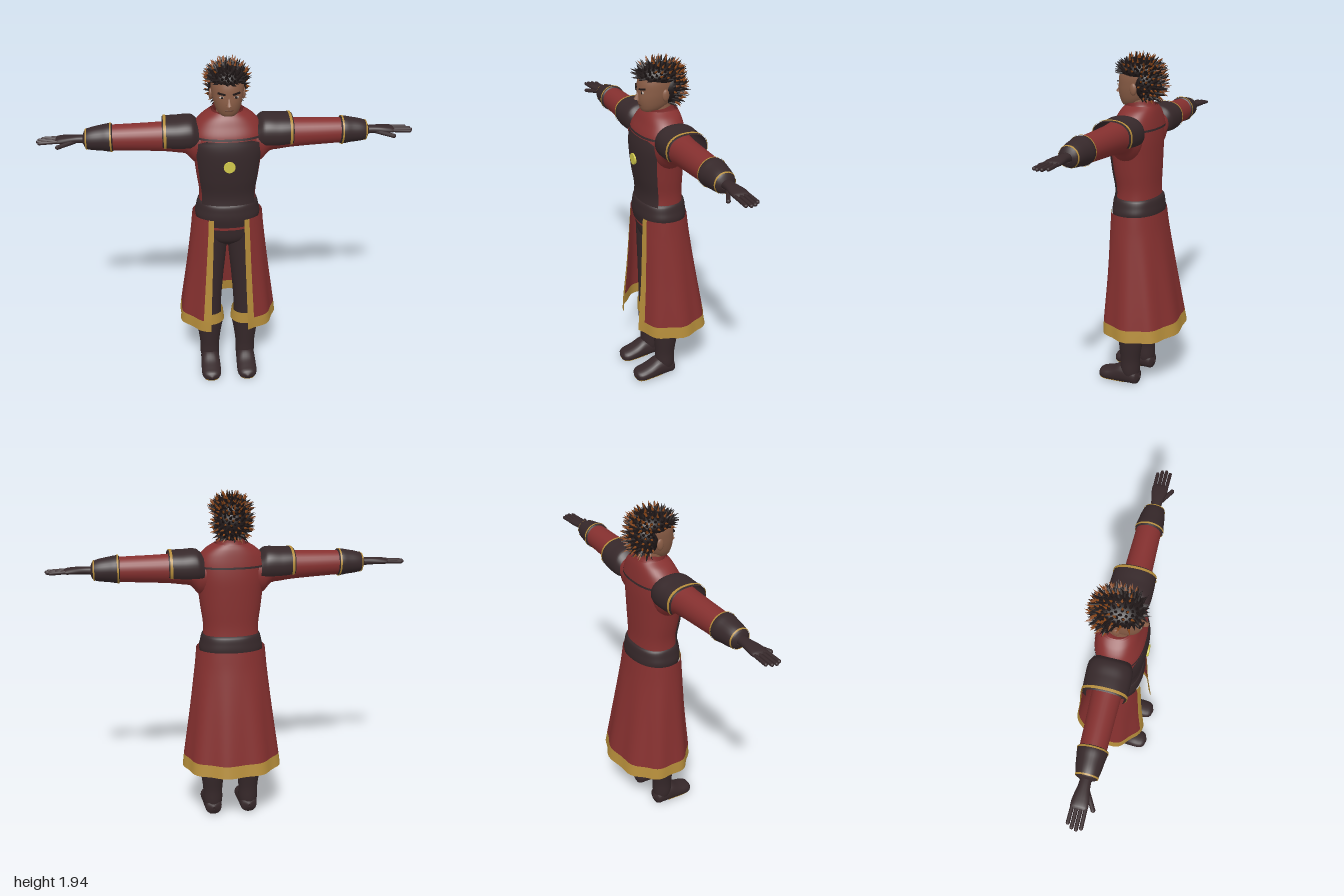
import * as THREE from 'three';
import { mergeVertices, mergeGeometries } from 'three/addons/utils/BufferGeometryUtils.js';

const paint = (name, color, side = THREE.DoubleSide) => {
  const m = new THREE.MeshStandardMaterial({ color, side });
  m.name = name;
  return m;
};

// Smooth interpolation of cross-section rows [t, centre1, centre2, radius1, radius2]
function sectionAt(rows, t) {
  let i = 0;
  while (i < rows.length - 2 && t > rows[i + 1][0]) i++;
  const a = rows[i], b = rows[i + 1], h = b[0] - a[0], u = (t - a[0]) / h;
  const before = rows[i - 1] ?? a, after = rows[i + 2] ?? b;
  return [1, 2, 3, 4].map((k) => {
    const m0 = (b[k] - before[k]) / (b[0] - before[0]) * h;
    const m1 = (after[k] - a[k]) / (after[0] - a[0]) * h;
    const d = b[k] - a[k];
    return a[k] + u * m0 + u * u * (3 * d - 2 * m0 - m1) + u * u * u * (m0 + m1 - 2 * d);
  });
}

// Skin over cross-sections along an axis; t and angle ranges cut out patches
function loft(rows, o = {}) {
  const { axis = 'y', t0 = rows[0][0], t1 = rows.at(-1)[0], a0 = 0, a1 = Math.PI * 2,
    off = 0, p = 2, segs = 32, steps = 24, ripple = () => 0 } = o;
  const val = (f, t) => (typeof f === 'function' ? f(t) : f);
  const bend = (v) => Math.sign(v) * Math.abs(v) ** (2 / p);
  const pos = [], idx = [];
  for (let j = 0; j <= steps; j++) {
    const t = t0 + (t1 - t0) * j / steps;
    const [c1, c2, r1, r2] = sectionAt(rows, t), s = val(a0, t), e = val(a1, t);
    for (let i = 0; i <= segs; i++) {
      const a = s + (e - s) * i / segs, g = off + ripple(a, t);
      const S = bend(Math.sin(a)), C = bend(Math.cos(a));
      if (axis === 'y') pos.push(c1 + (r1 + g) * S, t, c2 + (r2 + g) * C);
      else if (axis === 'x') pos.push(t, c1 + (r1 + g) * C, c2 + (r2 + g) * S);
      else pos.push(c1 - (r1 + g) * S, c2 + (r2 + g) * C, t);
      if (i < segs && j < steps) {
        const n = j * (segs + 1) + i, m = n + segs + 1;
        idx.push(n, n + 1, m + 1, n, m + 1, m);
      }
    }
  }
  let geo = new THREE.BufferGeometry();
  geo.setAttribute('position', new THREE.Float32BufferAttribute(pos, 3));
  geo.setIndex(idx);
  geo = mergeVertices(geo, 1e-5);
  geo.computeVertexNormals();
  return geo;
}

export function createModel() {
  const red = paint('red cloth', 0x85302f), dark = paint('dark leather', 0x36282a);
  const gold = paint('gold trim', 0xb48c3a), skin = paint('skin', 0x8a5d46);
  const black = paint('black hair', 0x1f1717), copper = paint('copper hair tips', 0x8a4618);
  const yellow = paint('medallion yellow', 0xd0c84a), white = paint('eye white', 0xb8a89c);
  const lips = paint('lips', 0x5f3a30);

  const model = new THREE.Group();
  model.name = 'coatedFigure';
  const add = (parent, name, geo, mat, x = 0, y = 0, z = 0) => {
    const m = new THREE.Mesh(geo, mat);
    m.name = name;
    m.position.set(x, y, z);
    parent.add(m);
    return m;
  };

  // Torso, chest plate, mantle and collar
  const torso = [
    [1.0, 0, .03, .155, .12], [1.1, 0, .03, .16, .12], [1.2, 0, .028, .155, .112], [1.3, 0, .034, .168, .12],
    [1.4, 0, .038, .18, .126], [1.48, 0, .038, .19, .126], [1.55, 0, .033, .185, .115],
    [1.6, 0, .025, .16, .1], [1.635, 0, .02, .125, .088], [1.66, 0, .015, .085, .075],
  ];
  add(model, 'coatBody', loft(torso, { p: 2.3, segs: 48 }), red);
  const plateEdge = (t) => 1.03 - .45 * Math.max(0, (t - 1.47) / .06) ** 3;
  add(model, 'chestPlate', loft(torso, { p: 2.3, t0: 1.1, t1: 1.53, off: .009, a0: (t) => -plateEdge(t), a1: plateEdge }), dark);
  add(model, 'mantle', loft(torso, { p: 2.3, t0: 1.545, off: .01, segs: 48 }), red);
  add(model, 'mantleEdge', loft(torso, { p: 2.3, t0: 1.535, t1: 1.546, off: .011, segs: 48, steps: 2 }), dark);
  const collar = add(model, 'collar', loft([[-.045, 0, 0, .115, .088], [0, 0, 0, .082, .075], [.03, 0, 0, .078, .077]], { steps: 8 }), red, 0, 1.65, .02);
  collar.rotation.x = .2;
  const medal = add(model, 'medallion', new THREE.CylinderGeometry(.031, .031, .012, 20), yellow, 0, 1.395, .176);
  medal.rotation.x = Math.PI / 2;

  // Belt and hips
  const belt = [[1.02, 0, .03, .165, .128], [1.07, 0, .03, .18, .136], [1.11, 0, .03, .173, .134], [1.15, 0, .03, .162, .127], [1.158, 0, .03, .15, .115]];
  add(model, 'belt', loft(belt, { p: 2.3, segs: 48 }), dark);
  add(model, 'hips', loft([[.87, 0, .03, .03, .05], [.92, 0, .03, .14, .1], [1.0, 0, .03, .16, .118], [1.06, 0, .03, .16, .12]], { p: 2.2 }), dark);

  // Open coat skirt with gold front edges and hem
  const skirt = [[.36, 0, -.005, .283, .228], [.43, 0, 0, .275, .22], [.7, 0, .012, .238, .184], [.95, 0, .026, .207, .155], [1.07, 0, .03, .195, .143]];
  const ripple = (a, t) => .007 * Math.sin(a * 9) * Math.max(0, (1 - t) / .64);
  const open = (t) => .36 + .05 * (t - .36) / .71;
  const inner = (t) => open(t) + .17;
  const flip = (f) => (t) => Math.PI * 2 - f(t);
  const cloth = { p: 2.15, ripple };
  add(model, 'skirtCloth', loft(skirt, { ...cloth, t0: .43, a0: inner, a1: flip(inner), segs: 90 }), red);
  add(model, 'skirtHem', loft(skirt, { ...cloth, t1: .43, a0: open, a1: flip(open), segs: 90, steps: 4 }), gold);
  add(model, 'leftSkirtEdge', loft(skirt, { ...cloth, t0: .43, a0: open, a1: inner, segs: 5 }), gold);
  add(model, 'rightSkirtEdge', loft(skirt, { ...cloth, t0: .43, a0: flip(inner), a1: flip(open), segs: 5 }), gold);

  // Limbs, built on the left and mirrored
  const sleeve = [[.12, 1.49, .035, .11, .09], [.18, 1.495, .035, .115, .09], [.22, 1.522, .035, .095, .084], [.27, 1.525, .035, .088, .078], [.35, 1.526, .035, .079, .073], [.62, 1.53, .037, .067, .066]];
  const pad = [[.155, 1.53, .022, .07, .098], [.19, 1.54, .023, .089, .112], [.27, 1.54, .025, .088, .114], [.335, 1.543, .026, .083, .11], [.345, 1.543, .026, .08, .106]];
  const guard = [[.598, 1.53, .038, .055, .056], [.606, 1.531, .038, .073, .073], [.66, 1.531, .038, .068, .069], [.745, 1.527, .04, .05, .052], [.757, 1.526, .04, .025, .03]];
  const palm = [[.74, 1.527, .04, .022, .027], [.79, 1.53, .04, .02, .03], [.85, 1.53, .04, .018, .041], [.89, 1.528, .04, .014, .042], [.902, 1.528, .04, .003, .034]];
  const leg = [[.33, .108, .035, .07, .068], [.45, .108, .035, .07, .07], [.65, .098, .035, .074, .078], [.85, .085, .033, .08, .09], [1.0, .08, .03, .078, .1]];
  const boot = [[.04, .108, .035, .045, .042], [.09, .108, .04, .057, .056], [.17, .108, .04, .058, .058], [.26, .108, .037, .069, .068], [.35, .105, .035, .083, .077]];
  const foot = [[-.02, .108, .055, .008, .01], [-.012, .108, .053, .04, .038], [.03, .108, .064, .053, .054], [.09, .108, .066, .056, .06], [.15, .108, .05, .058, .044], [.2, .108, .042, .056, .035], [.23, .108, .04, .04, .026], [.242, .108, .04, .006, .005]];
  const bootBand = [[.34, .105, .035, .086, .08], [.41, .107, .035, .08, .077]];

  for (const side of ['left', 'right']) {
    const limb = new THREE.Group();
    limb.name = side + 'Limbs';
    if (side === 'right') limb.scale.x = -1;
    model.add(limb);
    const arm = { axis: 'x', segs: 28 };
    const arc = { ...arm, a0: -2.15, a1: 2.15, p: 2.3 };
    add(limb, 'sleeve', loft(sleeve, arm), red);
    add(limb, 'shoulderPad', loft(pad, arc), dark);
    add(limb, 'shoulderPadTrim', loft(pad, { ...arc, t0: .324, t1: .338, off: .004, steps: 2 }), gold);
    add(limb, 'forearmGuard', loft(guard, arm), dark);
    for (const [t0, t1] of [[.608, .617], [.737, .745]])
      add(limb, 'forearmGuardTrim', loft(guard, { ...arm, t0, t1, off: .003, steps: 2 }), gold);

    // Gloved hand
    add(limb, 'palm', loft(palm, { ...arm, segs: 18, p: 2.3 }), dark);
    const finger = (name, a, b, r) => {
      const from = new THREE.Vector3(...a), d = new THREE.Vector3(...b).sub(from);
      const f = add(limb, name, new THREE.CapsuleGeometry(r, d.length(), 4, 8), dark);
      f.position.copy(from).addScaledVector(d, .5);
      f.quaternion.setFromUnitVectors(new THREE.Vector3(0, 1, 0), d.normalize());
    };
    [.968, .985, .99, .98].forEach((end, i) => {
      const z = .009 + i * .021;
      finger('finger', [.87, 1.529, z], [end, 1.524, z * 1.05 - .002], .0095);
    });
    finger('thumb', [.80, 1.522, .058], [.885, 1.512, .106], .0115);

    // Trouser leg, boot and sole
    add(limb, 'trouserLeg', loft(leg), dark);
    add(limb, 'bootShaft', loft(boot), dark);
    add(limb, 'bootBand', loft(bootBand, { steps: 4 }), gold);
    add(limb, 'foot', loft(foot, { axis: 'z', segs: 24, p: 2.3 }), dark);
    add(limb, 'sole', loft(foot, { axis: 'z', t0: .07, t1: .236, a0: 2.35, a1: 3.93, p: 2.3, off: .003, segs: 12 }), gold);

    // Ear and half of the face
    const ear = add(limb, 'ear', new THREE.SphereGeometry(1, 12, 10), skin, .086, 1.75, .025);
    ear.scale.set(.011, .032, .02);
    const eye = add(limb, 'eye', new THREE.SphereGeometry(1, 12, 8), white, .036, 1.765, .134);
    eye.scale.set(.015, .007, .006);
    const iris = add(limb, 'iris', new THREE.SphereGeometry(1, 10, 8), black, .036, 1.765, .138);
    iris.scale.set(.007, .007, .004);
    const brow = add(limb, 'eyebrow', new THREE.BoxGeometry(.04, .008, .009), black, .038, 1.784, .137);
    brow.rotation.set(0, .4, .15);
  }

  // Head
  const head = [[1.646, 0, .08, .008, .012], [1.655, 0, .075, .038, .045], [1.68, 0, .06, .06, .074], [1.72, 0, .046, .075, .098], [1.76, 0, .038, .083, .106], [1.82, 0, .028, .086, .11], [1.87, 0, .02, .07, .09], [1.9, 0, .015, .01, .01]];
  add(model, 'head', loft(head, { p: 2.15 }), skin);
  add(model, 'neck', new THREE.CylinderGeometry(.055, .06, .12, 20), skin, 0, 1.67, .02);
  const nose = add(model, 'nose', new THREE.ConeGeometry(.016, .05, 10), skin, 0, 1.745, .145);
  nose.scale.z = 1.1;
  nose.rotation.x = -.25;
  const mouth = add(model, 'mouth', new THREE.SphereGeometry(1, 12, 8), lips, 0, 1.694, .133);
  mouth.scale.set(.024, .006, .006);

  // Spiky hair: two caps covered with bent-back spikes
  const caps = [
    { name: 'hairTop', c: [0, 1.838, .022], r: [.092, .062, .115], n: 230, keep: (d) => d.y > -.15 },
    { name: 'hairBack', c: [0, 1.775, -.022], r: [.094, .098, .078], n: 260, keep: (d) => d.z < .1 && d.y > -.85 },
  ];
  const spikes = { black: [], copper: [] };
  const up = new THREE.Vector3(0, 1, 0);
  let seed = 7;
  const rand = () => (seed = (seed * 16807) % 2147483647) / 2147483647;
  for (const { name, c, r, n, keep } of caps) {
    add(model, name, new THREE.SphereGeometry(1, 28, 20), black, ...c).scale.set(...r);
    for (let i = 0; i < n; i++) {
      const y = 1 - 2 * (i + .5) / n, a = i * 2.39996, s = Math.sqrt(1 - y * y);
      const d = new THREE.Vector3(s * Math.sin(a), y, s * Math.cos(a));
      const len = .04 + .02 * rand();
      const lean = new THREE.Vector3(rand() - .5, rand() * .7, -rand() * .6);
      if (!keep(d)) continue;
      const base = d.clone().multiply(new THREE.Vector3(...r)).add(new THREE.Vector3(...c));
      const dir = d.clone().addScaledVector(lean, .8).normalize();
      const turn = new THREE.Quaternion().setFromUnitVectors(up, dir);
      const tip = d.z < .55 && i % 2 === 0;
      const spike = new THREE.ConeGeometry(.011, len, 5).translate(0, len / 2 - .012, 0);
      spikes.black.push(spike.applyQuaternion(turn).translate(base.x, base.y, base.z));
      if (tip) {
        const end = new THREE.ConeGeometry(.0065, len * .55, 5).translate(0, len * .75 - .01, 0);
        spikes.copper.push(end.applyQuaternion(turn).translate(base.x, base.y, base.z));
      }
    }
  }
  add(model, 'hairSpikes', mergeGeometries(spikes.black), black);
  add(model, 'hairTips', mergeGeometries(spikes.copper), copper);
  return model;
}
